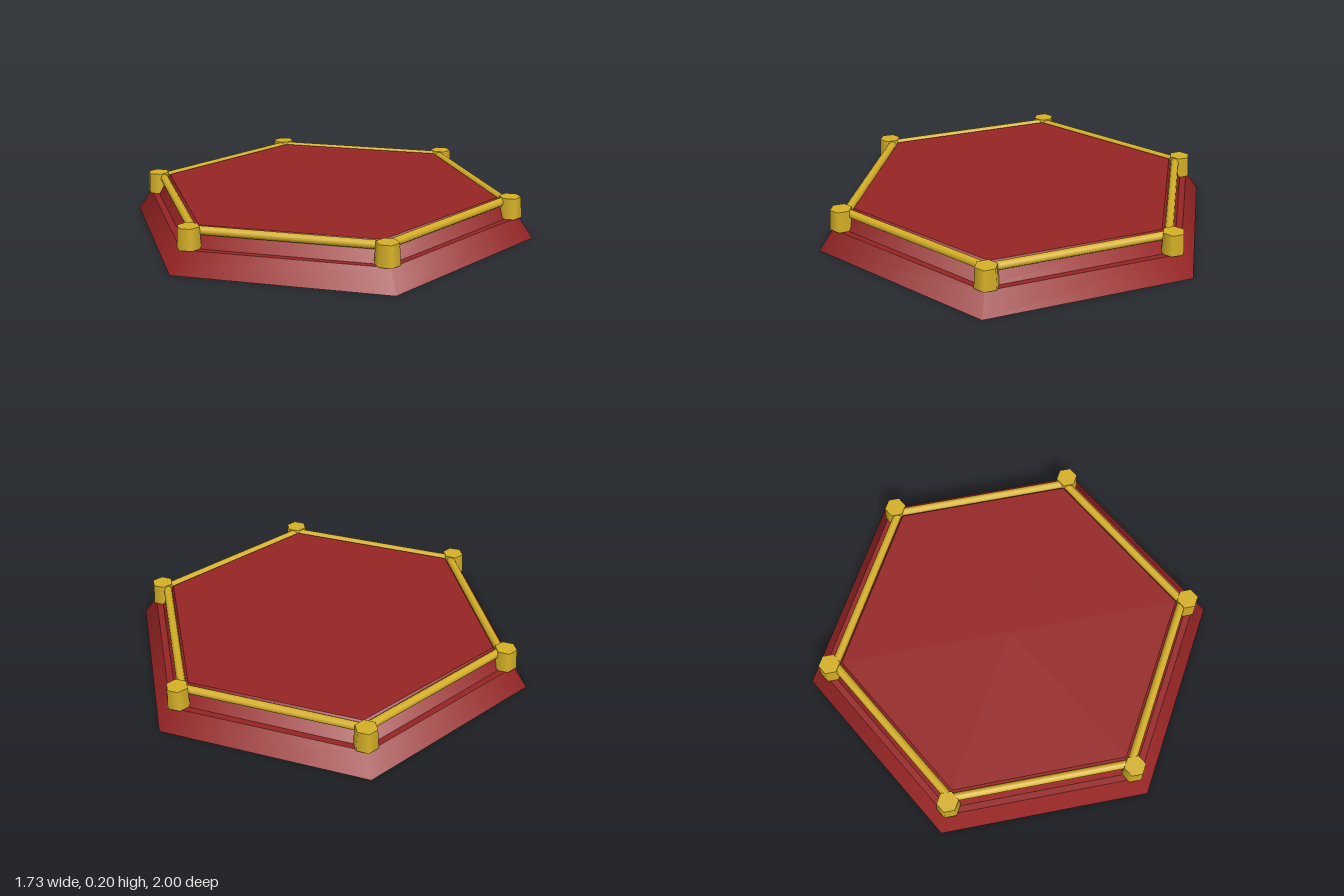
import * as THREE from 'three';

export function createModel() {
  const model = new THREE.Group();
  const red = new THREE.MeshStandardMaterial({ color: 0x962424 });
  red.name = 'deep red';
  const gold = new THREE.MeshStandardMaterial({ color: 0xd4af26 });
  gold.name = 'gold';

  const add = (name, geometry, material, x, y, z) => {
    const mesh = new THREE.Mesh(geometry, material);
    mesh.name = name;
    mesh.position.set(x, y, z);
    model.add(mesh);
    return mesh;
  };

  // Two stacked hexagonal tiers with sloping sides
  add('lowerTier', new THREE.CylinderGeometry(0.93, 1, 0.1, 6), red, 0, 0.05, 0);
  add('upperTier', new THREE.CylinderGeometry(0.825, 0.895, 0.09, 6), red, 0, 0.145, 0);

  // A tapered post at each corner and a round rail along each side
  const postGeometry = new THREE.CylinderGeometry(0.052, 0.058, 0.1, 6);
  const railRadius = 0.86;
  const railGeometry = new THREE.CylinderGeometry(0.02, 0.02, railRadius, 10);
  const apothem = railRadius * Math.cos(Math.PI / 6);
  for (let i = 0; i < 6; i++) {
    const corner = (i * Math.PI) / 3;
    add('cornerPost', postGeometry, gold, 0.885 * Math.sin(corner), 0.15, 0.885 * Math.cos(corner));

    const side = corner + Math.PI / 6;
    const rail = add('rail', railGeometry, gold, apothem * Math.sin(side), 0.176, apothem * Math.cos(side));
    rail.rotation.set(0, side, Math.PI / 2);
  }
  return model;
}
